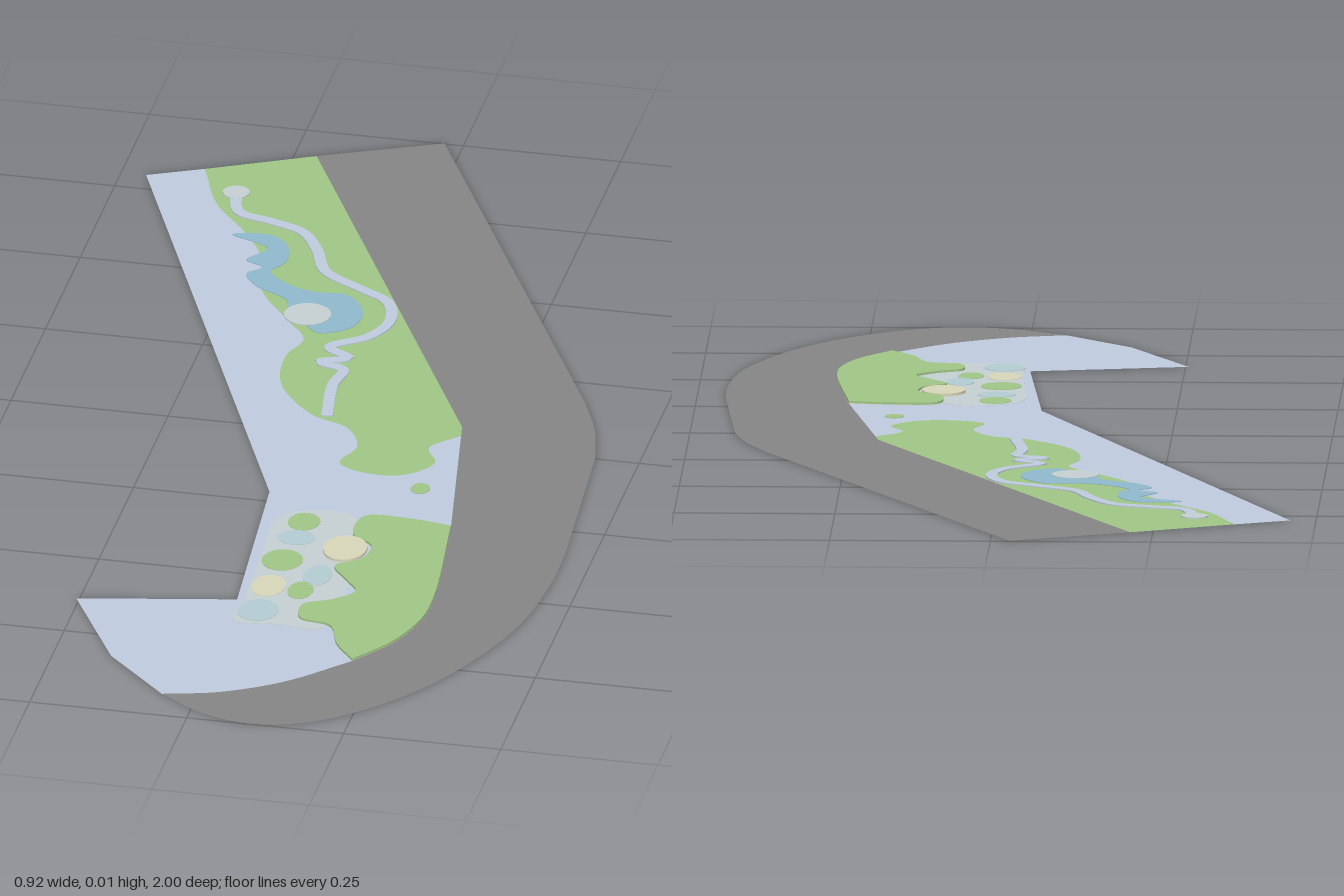
import * as THREE from 'three';

const COLORS = {
  road: 0x858585, water: 0xbfcbdd, grass: 0xa0c585, pond: 0x8fb8cc,
  sand: 0xd8d6b8, teal: 0xb2cbd2, paving: 0xc5cfd2, soil: 0xcdbfa0,
};

// Plan points are [x, z] pairs
const curveOf = (pts, closed = false) =>
  new THREE.CatmullRomCurve3(pts.map(([x, z]) => new THREE.Vector3(x, 0, z)), closed, 'centripetal');
const smooth = (pts, closed = false) =>
  curveOf(pts, closed).getPoints(pts.length * 6).map((p) => [p.x, p.z]);
const shapeOf = (pts) => new THREE.Shape(pts.map(([x, z]) => new THREE.Vector2(x, -z)));

export function createModel() {
  const model = new THREE.Group();

  const add = (name, geometry, color, y = 0) => {
    const material = new THREE.MeshStandardMaterial({ color: COLORS[color], side: THREE.DoubleSide });
    const mesh = new THREE.Mesh(geometry, material);
    mesh.name = name;
    mesh.position.y = y;
    model.add(mesh);
  };
  // Flat ground sheet
  const sheet = (name, pts, color, y = 0.001) =>
    add(name, new THREE.ShapeGeometry(shapeOf(pts)).rotateX(-Math.PI / 2), color, y);
  // Thin raised plate
  const slab = (name, pts, color, bottom, top) =>
    add(name, new THREE.ExtrudeGeometry(shapeOf(pts), { depth: top - bottom, bevelEnabled: false })
      .rotateX(-Math.PI / 2), color, bottom);
  // Oval plate
  const oval = (name, x, z, rx, rz, color, top) =>
    add(name, new THREE.CylinderGeometry(1, 1, top, 28).scale(rx, 1, rz).translate(x, top / 2, z), color);
  // Constant-width walk along a curve, made by bending a long box
  const walk = (name, pts, width, height, color) => {
    const curve = curveOf(pts);
    const geometry = new THREE.BoxGeometry(width, height, 1, 1, 1, 140);
    const pos = geometry.attributes.position;
    for (let i = 0; i < pos.count; i++) {
      const t = THREE.MathUtils.clamp(pos.getZ(i) + 0.5, 0, 1);
      const p = curve.getPointAt(t), d = curve.getTangentAt(t), s = pos.getX(i);
      pos.setXYZ(i, p.x + d.z * s, pos.getY(i) + height / 2, p.z - d.x * s);
    }
    geometry.computeVertexNormals();
    add(name, geometry, color);
  };

  // Shared boundaries
  const roadOuter = [[-0.03, -1], [0.375, -0.18], ...smooth([
    [0.375, -0.18], [0.41, -0.09], [0.43, 0]]).slice(1), ...smooth([
    [0.455, 0.33], [0.455, 0.43], [0.44, 0.57], [0.40, 0.70], [0.34, 0.82],
    [0.26, 0.92], [0.18, 0.98], [0.10, 1], [0.02, 0.98], [-0.055, 0.93]])];
  const bendSouth = smooth([[0.21, 0.757], [0.12, 0.85], [0.03, 0.905], [-0.055, 0.93]]);
  const bendEast = smooth([[0.262, 0.28], [0.288, 0.52], [0.285, 0.6], [0.26, 0.68], [0.21, 0.757]]);
  const northShore = smooth([
    [-0.375, -0.835], [-0.33, -0.72], [-0.27, -0.64], [-0.22, -0.55], [-0.2, -0.45], [-0.14, -0.36],
    [-0.1, -0.3], [-0.115, -0.24], [-0.1, -0.14], [-0.03, -0.05], [0.03, -0.02], [0.06, 0.04],
    [0.045, 0.1], [0.09, 0.125], [0.15, 0.12], [0.19, 0.07], [0.17, 0.02], [0.21, -0.03]]);
  const southShore = smooth([
    [0.262, 0.28], [0.2, 0.27], [0.125, 0.275], [0.12, 0.34], [0.155, 0.37], [0.15, 0.42],
    [0.115, 0.45], [0.14, 0.49], [0.165, 0.53], [0.135, 0.565], [0.095, 0.59], [0.1, 0.635],
    [0.15, 0.65], [0.175, 0.71], [0.21, 0.757]]);

  // Ground: road, water and the two lawns
  sheet('road', [...roadOuter, ...bendSouth.slice(0, -1).reverse(), ...bendEast.slice(0, -1).reverse(),
    [0.21, -0.03], [0.205, -0.06], [-0.215, -0.915]], 'road');
  sheet('water', [[-0.46, -0.795], ...northShore, ...southShore, ...bendSouth.slice(1),
    [-0.16, 0.82], [-0.255, 0.64], [-0.01, 0.59], [-0.04, 0.22]], 'water');
  sheet('northLawn', [...northShore, [0.205, -0.06], [-0.215, -0.915]], 'grass');
  const southLawn = [...southShore, ...bendEast.slice(1, -1).reverse()];
  sheet('southLawnSoil', southLawn, 'soil');
  slab('southLawn', southLawn, 'grass', 0.0015, 0.005);
  oval('islet', 0.187, 0.16, 0.015, 0.018, 'grass', 0.002);

  // Pond with a round island, and the winding walk
  slab('pond', smooth([
    [-0.285, -0.625], [-0.225, -0.635], [-0.19, -0.6], [-0.185, -0.545], [-0.2, -0.515], [-0.16, -0.475],
    [-0.12, -0.46], [-0.065, -0.46], [-0.03, -0.41], [-0.035, -0.355], [-0.08, -0.325], [-0.11, -0.35],
    [-0.145, -0.39], [-0.155, -0.425], [-0.21, -0.46], [-0.235, -0.5], [-0.215, -0.525],
    [-0.245, -0.545], [-0.22, -0.59]], true), 'pond', 0.0003, 0.002);
  oval('pondIsland', -0.112, -0.382, 0.037, 0.037, 'paving', 0.003);
  oval('walkPlaza', -0.31, -0.765, 0.021, 0.021, 'paving', 0.0032);
  walk('windingWalk', [
    [-0.31, -0.765], [-0.29, -0.7], [-0.235, -0.68], [-0.18, -0.655], [-0.145, -0.6], [-0.115, -0.53],
    [-0.05, -0.485], [0.0, -0.45], [0.018, -0.385], [-0.003, -0.328], [-0.055, -0.28], [-0.018, -0.25],
    [-0.06, -0.228], [-0.018, -0.21], [-0.022, -0.155], [-0.008, -0.05]], 0.018, 0.003, 'water');

  // Paved waterside with coloured beds
  slab('waterside', smooth([
    [0.0, 0.29], [0.1, 0.27], [0.14, 0.4], [0.15, 0.55], [0.14, 0.66], [0.07, 0.66],
    [0.0, 0.66], [0.0, 0.58], [-0.005, 0.45]], true), 'paving', 0.0005, 0.0015);
  const beds = [
    ['grassBed', 0.035, 0.31, 0.025, 0.03, 'grass'], ['grassBed', 0.03, 0.445, 0.032, 0.036, 'grass'],
    ['grassBed', 0.08, 0.54, 0.02, 0.03, 'grass'], ['tealBed', 0.035, 0.365, 0.03, 0.025, 'teal'],
    ['tealBed', 0.095, 0.485, 0.022, 0.035, 'teal'], ['tealBed', 0.03, 0.62, 0.032, 0.037, 'teal'],
    ['sandBed', 0.028, 0.535, 0.027, 0.037, 'sand'],
  ];
  for (const [name, x, z, rx, rz, color] of beds) oval(name, x, z, rx, rz, color, 0.0022);
  oval('sandTerrace', 0.118, 0.39, 0.034, 0.042, 'sand', 0.0056);

  return model;
}
